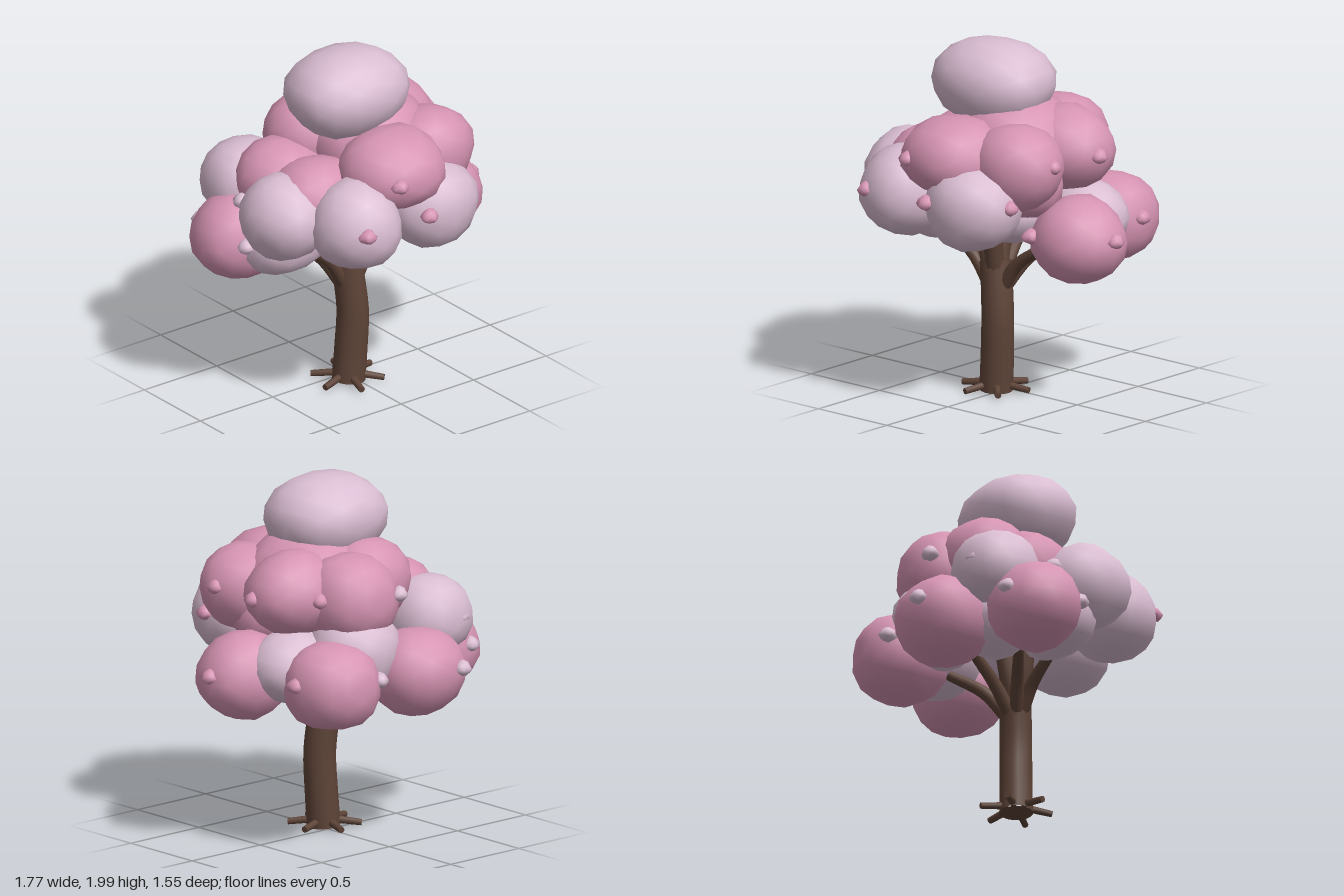
import * as THREE from 'three';
import { mergeVertices } from 'three/addons/utils/BufferGeometryUtils.js';

const material = (name, color) => {
  const m = new THREE.MeshStandardMaterial({ color });
  m.name = name;
  return m;
};

// Uneven low-poly ball with smooth normals; a higher power is boxier
function lumpGeometry(detail, power, wobble, seed) {
  let geo = new THREE.IcosahedronGeometry(1, detail);
  geo.deleteAttribute('uv');
  geo.deleteAttribute('normal');
  geo = mergeVertices(geo, 1e-4);
  const pos = geo.attributes.position;
  const v = new THREE.Vector3();
  for (let i = 0; i < pos.count; i++) {
    v.fromBufferAttribute(pos, i);
    const box = Math.pow(
      Math.abs(v.x) ** power + Math.abs(v.y) ** power + Math.abs(v.z) ** power, -1 / power);
    const noise = Math.sin(v.x * 5.1 + seed * 1.7) + Math.sin(v.y * 4.7 + seed * 2.3)
      + Math.sin(v.z * 5.3 + seed * 3.1);
    v.multiplyScalar(box * (1 + wobble * noise));
    pos.setXYZ(i, v.x, v.y, v.z);
  }
  geo.computeVertexNormals();
  return geo;
}

// Tapered round limb following a smooth path
function limbGeometry(points, r0, r1, segments = 8, sides = 12) {
  const curve = new THREE.CatmullRomCurve3(points.map((p) => new THREE.Vector3(...p)));
  const geo = new THREE.TubeGeometry(curve, segments, 1, sides, false);
  const pos = geo.attributes.position;
  const v = new THREE.Vector3();
  for (let i = 0; i < pos.count; i++) {
    const t = Math.floor(i / (sides + 1)) / segments;
    const c = curve.getPointAt(t);
    v.fromBufferAttribute(pos, i).sub(c).multiplyScalar(r0 + (r1 - r0) * t).add(c);
    pos.setXYZ(i, v.x, v.y, v.z);
  }
  return geo;
}

export function createModel() {
  const tree = new THREE.Group();
  tree.name = 'blossomTree';
  const bark = material('bark brown', 0x5e4438);
  const pink = material('blossom pink', 0xd694b3);
  const pale = material('pale blossom', 0xdabdd2);

  const add = (parent, name, geo, mat) => {
    const mesh = new THREE.Mesh(geo, mat);
    mesh.name = name;
    parent.add(mesh);
    return mesh;
  };

  // Trunk with a gentle bend, closed underneath
  add(tree, 'trunk', limbGeometry(
    [[-0.03, 0.01, 0.07], [-0.018, 0.2, 0.075], [-0.01, 0.42, 0.08], [-0.025, 0.6, 0.07], [-0.045, 0.74, 0.06]],
    0.093, 0.087, 12, 16), bark);
  const base = add(tree, 'trunkBase', new THREE.CircleGeometry(0.093, 16), bark);
  base.rotation.x = Math.PI / 2;
  base.position.set(-0.03, 0.01, 0.07);

  // Six short roots around the base
  const root = new THREE.CylinderGeometry(0.018, 0.022, 0.15, 8);
  root.rotateZ(-Math.PI / 2);
  for (let i = 0; i < 6; i++) {
    const a = Math.PI / 4 + i * Math.PI / 3;
    const mesh = add(tree, 'root', root, bark);
    mesh.position.set(-0.035 + 0.128 * Math.cos(a), 0.035, 0.067 + 0.128 * Math.sin(a));
    mesh.rotation.set(0, -a, -0.12, 'YXZ');
  }

  // Branches: outer ones spread sideways, inner ones rise into the crown
  const outer = [[0.29, 0.86, 0.06], [0.2, 0.86, -0.22], [-0.1, 0.9, -0.27],
    [-0.31, 0.86, -0.08], [-0.31, 0.87, 0.12]];
  for (const [x, y, z] of outer) {
    const dx = x + 0.03, dz = z - 0.07;
    add(tree, 'branch', limbGeometry(
      [[-0.03 + dx * 0.1, 0.58, 0.07 + dz * 0.1], [-0.03 + dx * 0.48, 0.745, 0.07 + dz * 0.48], [x, y, z]],
      0.043, 0.028), bark);
  }
  for (const [x, z] of [[-0.14, 0.08], [0.02, 0.15], [-0.04, -0.04]]) {
    add(tree, 'innerBranch', limbGeometry(
      [[-0.03, 0.62, 0.07], [(x - 0.045) / 2, 0.82, (z + 0.07) / 2], [x, 1.1, z]], 0.06, 0.045), bark);
  }

  // Foliage clumps: centre x, y, z, then radii x, y, z
  const crown = new THREE.Group();
  crown.name = 'crown';
  tree.add(crown);
  const lowerRing = [
    [0.565, 0.965, 0.06, 0.27, 0.245, 0.25], [0.36, 0.965, -0.43, 0.26, 0.245, 0.265],
    [-0.2, 0.965, -0.485, 0.27, 0.245, 0.275], [-0.615, 0.965, -0.16, 0.265, 0.245, 0.25],
  ];
  const upperPink = [
    // left shoulder
    [-0.38, 1.27, -0.08, 0.265, 0.225, 0.245], [-0.36, 1.26, 0.2, 0.265, 0.22, 0.245],
    // upper ring
    [-0.01, 1.41, 0.43, 0.3, 0.22, 0.285], [0.325, 1.385, 0.3, 0.275, 0.24, 0.245],
    [0.34, 1.42, -0.09, 0.275, 0.24, 0.25], [0.11, 1.39, -0.3, 0.26, 0.25, 0.26],
    [-0.1, 1.43, -0.17, 0.265, 0.25, 0.255],
    // core, and the underside of the right shoulder
    [0.11, 1.45, 0.05, 0.35, 0.265, 0.36], [0.25, 1.26, 0.18, 0.25, 0.2, 0.2],
  ];
  const paleClumps = [
    // top tuft
    [-0.045, 1.755, 0.07, 0.35, 0.25, 0.3],
    // middle ring
    [-0.31, 1.18, 0.5, 0.25, 0.255, 0.255], [0.19, 1.175, 0.5, 0.275, 0.24, 0.26],
    [-0.55, 1.18, 0.18, 0.25, 0.245, 0.26], [-0.45, 1.2, -0.31, 0.245, 0.225, 0.24],
    [0.12, 1.1, -0.34, 0.265, 0.25, 0.255], [0.41, 1.03, -0.16, 0.25, 0.21, 0.22],
    // fillers between the rings
    [-0.47, 0.99, 0.06, 0.265, 0.205, 0.2], [-0.3, 0.97, -0.23, 0.22, 0.18, 0.22],
    [0.1, 1.07, 0.12, 0.26, 0.19, 0.22],
  ];
  let seed = 1;
  const addClumps = (list, power, mat, name) => {
    for (const [x, y, z, rx, ry, rz] of list) {
      const mesh = add(crown, name, lumpGeometry(2, power, 0.018, seed++), mat);
      mesh.position.set(x, y, z);
      mesh.scale.set(rx, ry, rz);
    }
  };
  addClumps(lowerRing, 2.15, pink, 'lowerPinkClump');
  addClumps(upperPink, 2.1, pink, 'upperPinkClump');
  addClumps(paleClumps, 2.1, pale, 'paleClump');

  // Small pointed buds on the outside of the clumps
  const bud = lumpGeometry(1, 1.5, 0.05, 4);
  const addBuds = (list, mat, name) => {
    for (const [x, y, z] of list) {
      const mesh = add(crown, name, bud, mat);
      mesh.position.set(x, y, z);
      mesh.scale.set(0.056, 0.047, 0.056);
      mesh.rotation.y = Math.atan2(x, z);
    }
  };
  addBuds([[0.825, 1, 0.05], [0.41, 1, 0.28], [0.605, 1, -0.41],
    [-0.64, 1.21, 0.36], [-0.4, 1.21, 0.72], [0.03, 1.21, 0.715], [0.45, 1.21, 0.5],
    [-0.14, 1.42, 0.675], [0.57, 1.42, 0.28], [0.605, 1.42, -0.06], [0.36, 1.42, -0.33]], pink, 'pinkBud');
  addBuds([[0.18, 1, -0.62], [-0.33, 1, -0.73], [-0.7, 1, -0.385], [-0.73, 1, 0.06],
    [-0.66, 1.21, -0.07], [-0.53, 1.21, -0.49], [-0.07, 1.42, -0.5]], pale, 'paleBud');

  return tree;
}
